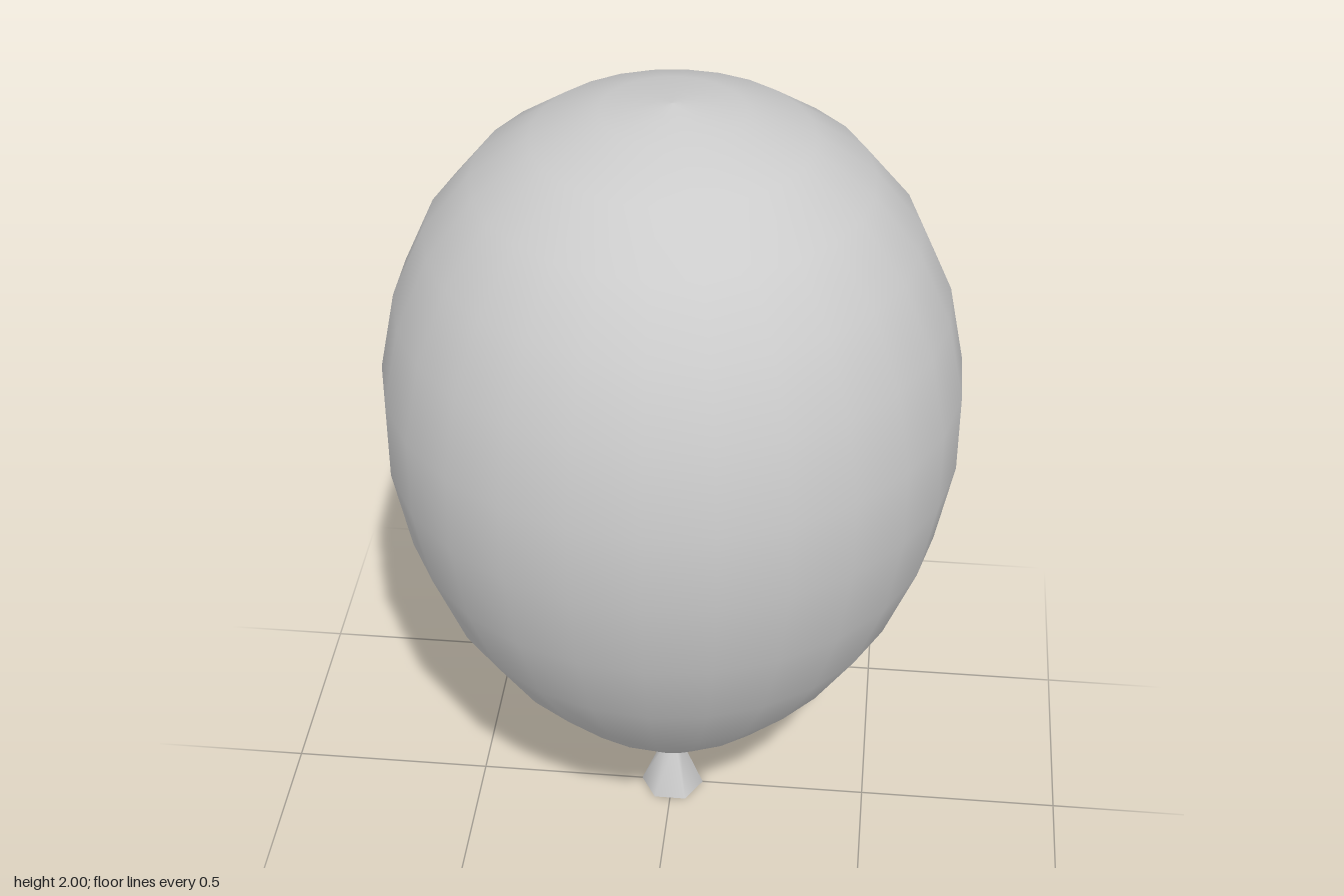
import * as THREE from 'three';

export function createModel() {
  const group = new THREE.Group();
  const material = new THREE.MeshStandardMaterial({ color: 0xcccccc });

  // Balloon body: a sphere-like profile whose lower half is drawn out to a point
  const segments = 26, radius = 0.68;
  const heights = [0.145, 0.245, 0.39, 0.545, 0.72, 0.92, 1.13, 1.325, 1.52, 1.69, 1.825, 1.92, 1.98, 2];
  const last = heights.length - 1;
  const profile = heights.map((y, i) =>
    new THREE.Vector2(i === 0 || i === last ? 0 : radius * Math.sin(Math.PI * i / last), y));
  const body = new THREE.Mesh(new THREE.LatheGeometry(profile, segments), material);
  body.name = 'balloonBody';
  group.add(body);

  // Flared six-sided neck, open at the bottom
  const neckMaterial = material.clone();
  neckMaterial.side = THREE.DoubleSide;
  const neckGeometry = new THREE.CylinderGeometry(0.02, 0.08, 0.15, 6, 1, true, Math.PI / 2);
  const neck = new THREE.Mesh(neckGeometry, neckMaterial);
  neck.name = 'neck';
  neck.position.y = 0.075;
  group.add(neck);

  return group;
}
